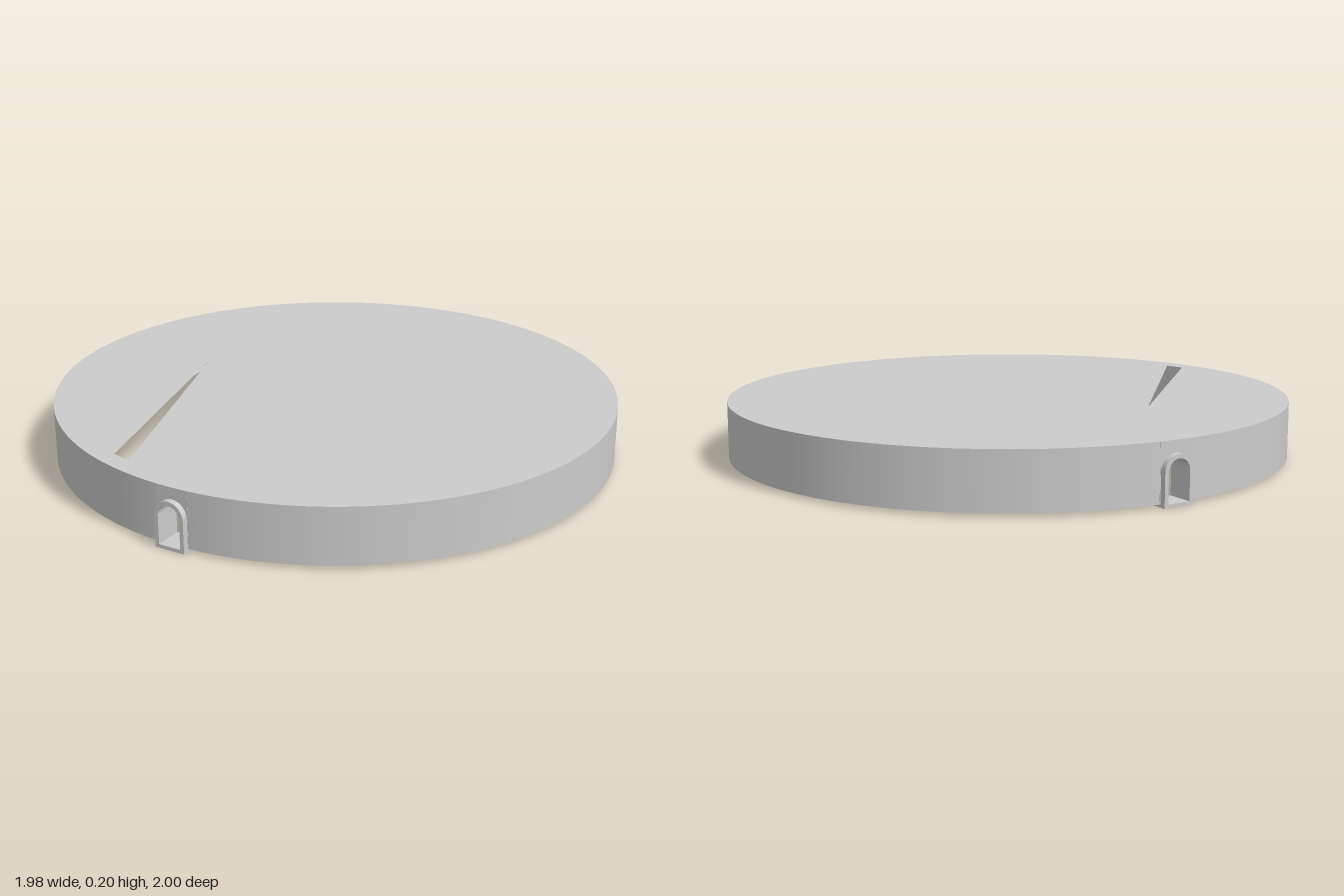
import * as THREE from 'three';

const R = 0.99, R_IN = 0.925, BASE = 0.01, TOP = 0.205, OFFSET_Z = 0.01;
const DOOR_HALF = 0.054, DOOR_IN = 0.04, SPRING = 0.111;
const rad = THREE.MathUtils.degToRad;

const material = new THREE.MeshStandardMaterial({ color: 0xcccccc, side: THREE.DoubleSide });

function add(parent, name, geometry) {
  const mesh = new THREE.Mesh(geometry, material);
  mesh.name = name;
  parent.add(mesh);
  return mesh;
}

// Point on the inner circle; the angle runs from +x towards +z
const rim = (deg) => new THREE.Vector2(R_IN * Math.cos(rad(deg)), R_IN * Math.sin(rad(deg)));

// Flat disc with one polygonal opening, laid at height y
function disc(points, y) {
  const shape = new THREE.Shape().absarc(0, 0, R, 0, Math.PI * 2);
  shape.holes.push(new THREE.Path(points));
  return new THREE.ShapeGeometry(shape, 60).rotateX(Math.PI / 2).translate(0, y, 0);
}

// Traces an arch from its left foot over the top to its right foot, or back again
function arch(shape, half, foot, clockwise) {
  const s = clockwise ? -1 : 1;
  shape.lineTo(s * half, foot);
  shape.lineTo(s * half, SPRING);
  shape.absarc(0, SPRING, half, clockwise ? Math.PI : 0, clockwise ? 0 : Math.PI, clockwise);
  shape.lineTo(-s * half, foot);
}

function extrude(shape, from, to) {
  return new THREE.ExtrudeGeometry(shape, { depth: to - from, bevelEnabled: false, curveSegments: 16 })
    .translate(0, 0, from);
}

// Arched doorway facing +z: wall panel around it, projecting frame and sill
function doorway(name, angle) {
  const group = new THREE.Group();
  group.name = name;

  const panel = new THREE.Shape();
  const w = DOOR_HALF + 0.003;
  panel.moveTo(-w, BASE);
  arch(panel, DOOR_HALF, BASE, true);
  panel.lineTo(w, BASE);
  panel.lineTo(w, TOP);
  panel.lineTo(-w, TOP);
  add(group, 'doorPanel', extrude(panel, R_IN, R - 0.001));

  const frame = new THREE.Shape();
  frame.moveTo(DOOR_HALF, 0.005);
  arch(frame, DOOR_HALF, 0.005, false);
  arch(frame, DOOR_IN, 0.005, true);
  add(group, 'doorFrame', extrude(frame, 0.915, 1.01));

  const sill = add(group, 'doorSill', new THREE.BoxGeometry(DOOR_HALF * 2, 0.012, 0.095));
  sill.position.set(0, 0.006, 0.9625);
  group.rotation.y = angle;
  return group;
}

export function createModel() {
  const model = new THREE.Group();
  model.name = 'roundHollowBase';
  const body = new THREE.Group();
  body.name = 'body';
  body.position.z = OFFSET_Z;
  model.add(body);

  // Thin top with a narrow wedge-shaped slit
  add(body, 'topPlate', disc([
    new THREE.Vector2(-0.26, -0.49), new THREE.Vector2(-0.91, 0.17), new THREE.Vector2(-0.89, 0.24),
  ], TOP));

  // Floor with a large opening that follows the inner wall on one side
  const opening = [rim(335), rim(280), rim(267)];
  for (let a = 205; a >= 147.5; a -= 2.875) opening.push(rim(a));
  add(body, 'floorPlate', disc(opening, BASE));

  // Outer and inner walls, interrupted at the two doorways
  const gap = 3.3;
  for (const [start, end] of [[-60 + gap, 180 - gap], [180 + gap, 300 - gap]]) {
    for (const [name, radius] of [['outerWall', R], ['innerWall', R_IN]]) {
      const wall = add(body, name, new THREE.CylinderGeometry(
        radius, radius, TOP - BASE, Math.round((end - start) / 3), 1, true, rad(start), rad(end - start)));
      wall.position.y = (TOP + BASE) / 2;
    }
  }

  body.add(doorway('backDoorway', Math.PI), doorway('sideDoorway', rad(-60)));
  return model;
}
